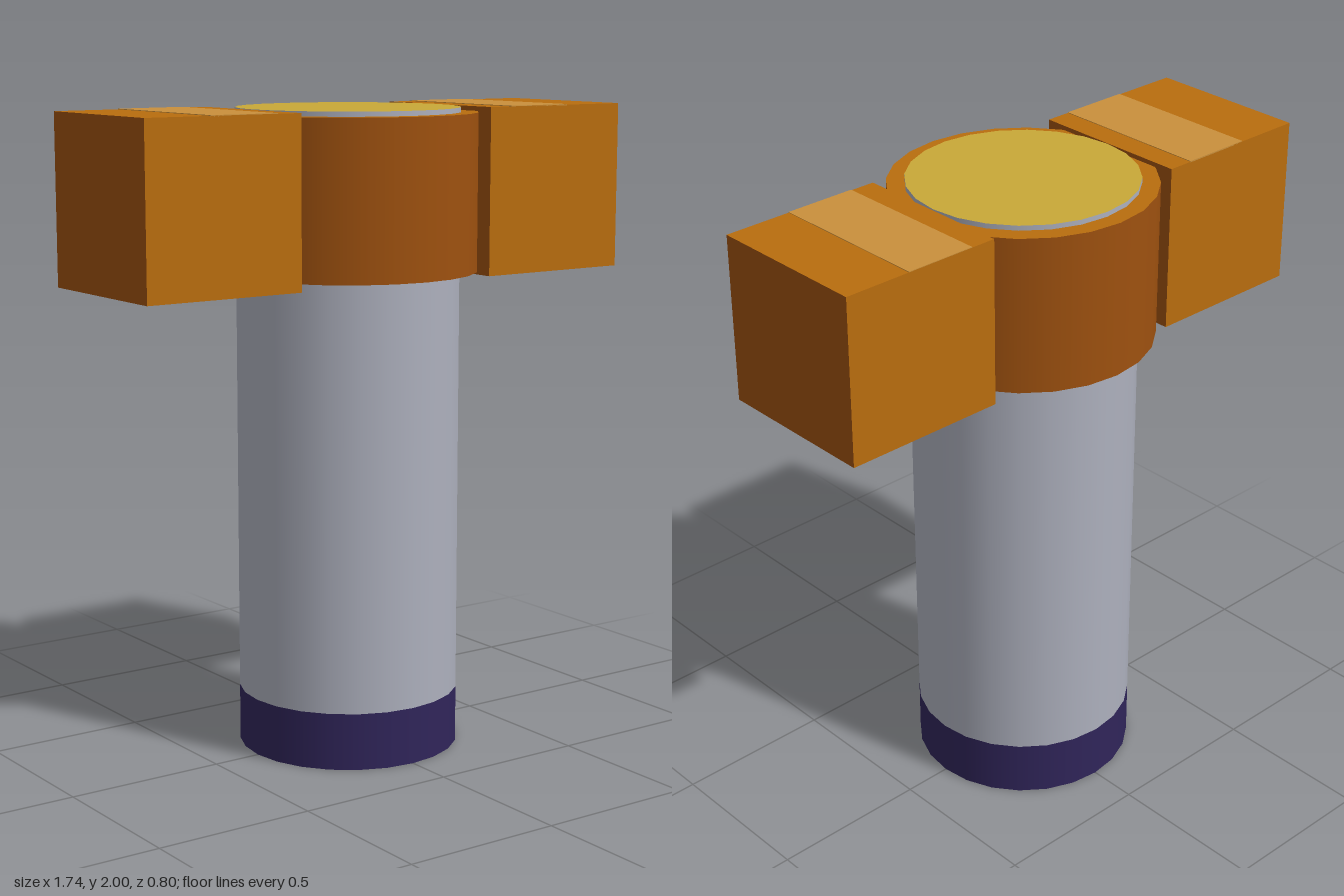
import * as THREE from 'three';

const paint = (name, color) => {
  const m = new THREE.MeshStandardMaterial({ color });
  m.name = name;
  return m;
};

export function createModel() {
  const grey = paint('steel grey', 0xadb0bd);
  const purple = paint('deep purple', 0x30255a);
  const yellow = paint('mustard yellow', 0xc9a838);
  const orange = paint('orange', 0xb96d0e);
  const rust = paint('rust orange', 0x9e510f);
  const tan = paint('light tan', 0xca903c);

  const model = new THREE.Group();
  model.name = 'hammer';
  const add = (name, geometry, material, x, y, z = 0) => {
    const mesh = new THREE.Mesh(geometry, material);
    mesh.name = name;
    mesh.position.set(x, y, z);
    model.add(mesh);
  };
  // Upright cylinder between two heights; materials are side, top, bottom
  const drum = (name, r, y0, y1, materials) =>
    add(name, new THREE.CylinderGeometry(r, r, y1 - y0, 24), materials, 0, (y0 + y1) / 2);

  // Post with dark foot and bright top
  drum('foot', 0.346, 0, 0.178, [purple, purple, purple]);
  drum('post', 0.346, 0.178, 2, [grey, yellow, grey]);

  // Collar around the top of the post
  drum('collar', 0.4, 1.5, 1.985, [rust, orange, orange]);

  // Side blocks: rust end faces, orange elsewhere, pale stripe on top
  for (const side of [1, -1]) {
    const label = side > 0 ? 'left' : 'right';
    add(label + 'Block', new THREE.BoxGeometry(0.52, 0.518, 0.52),
      [rust, rust, orange, orange, orange, orange], side * 0.61, 1.74);
    add(label + 'Stripe', new THREE.BoxGeometry(0.225, 0.004, 0.52), tan, side * 0.543, 1.999);
  }
  return model;
}
